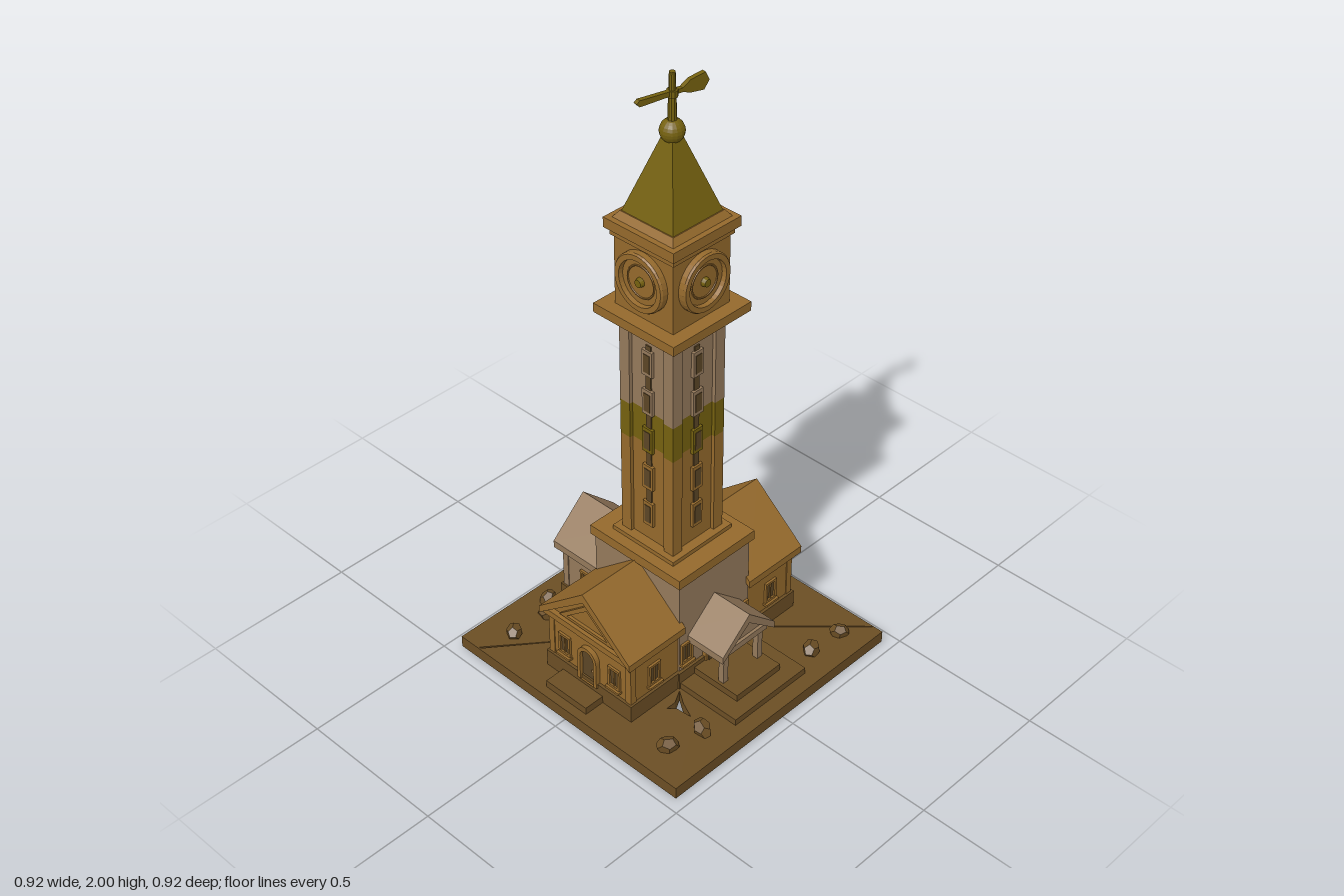
import * as THREE from 'three';

const mat = (color) => new THREE.MeshStandardMaterial({ color, flatShading: true, side: THREE.DoubleSide });
const EARTH = mat(0x6b4e24), WOOD = mat(0x94692c), STONE = mat(0x94795b), OLIVE = mat(0x75610f), DARK = mat(0x5c4626);

function add(parent, name, geo, m, x = 0, y = 0, z = 0) {
  const mesh = new THREE.Mesh(geo, m);
  mesh.name = name;
  mesh.position.set(x, y, z);
  parent.add(mesh);
  return mesh;
}
// Box given by its bottom and top heights
const box = (p, name, m, w, d, y0, y1, x = 0, z = 0) =>
  add(p, name, new THREE.BoxGeometry(w, y1 - y0, d), m, x, (y0 + y1) / 2, z);
const poly = (pts) => new THREE.Shape(pts.map(([x, y]) => new THREE.Vector2(x, y)));
const extrude = (shape, depth) => new THREE.ExtrudeGeometry(shape, { depth, bevelEnabled: false, curveSegments: 8 });
function group(parent, name, turn = 0) {
  const g = new THREE.Group();
  g.name = name;
  g.rotation.y = turn;
  parent.add(g);
  return g;
}

// Framed window on a wall facing +z
function addWindow(p, x, y, z) {
  const frame = poly([[-0.024, -0.038], [0.024, -0.038], [0.024, 0.038], [-0.024, 0.038]]);
  frame.holes.push(poly([[-0.016, -0.03], [0.016, -0.03], [0.016, 0.03], [-0.016, 0.03]]));
  add(p, 'windowFrame', extrude(frame, 0.01), WOOD, x, y, z - 0.002);
  box(p, 'windowPane', DARK, 0.032, 0.004, y - 0.03, y + 0.03, x, z);
  box(p, 'windowBar', WOOD, 0.005, 0.01, y - 0.03, y + 0.03, x, z);
  box(p, 'windowSill', WOOD, 0.056, 0.022, y - 0.046, y - 0.038, x, z + 0.005);
}

// Arched outline standing on y = 0
function arch(r, h) {
  const s = new THREE.Shape();
  s.moveTo(-r, 0);
  s.lineTo(r, 0);
  s.lineTo(r, h - r);
  s.absarc(0, h - r, r, 0, Math.PI, false);
  s.lineTo(-r, 0);
  return s;
}
function addDoor(p, z) {
  const frame = arch(0.04, 0.135);
  frame.holes.push(arch(0.028, 0.122));
  add(p, 'doorFrame', extrude(frame, 0.018), WOOD, 0, 0.085, z - 0.002);
  add(p, 'door', extrude(arch(0.028, 0.122), 0.006), DARK, 0, 0.085, z - 0.002);
  add(p, 'doorKnob', new THREE.SphereGeometry(0.005, 8, 6), WOOD, 0.016, 0.135, z + 0.006);
}

// Chevron roof from z0 to z1
function addRoof(p, half, eave, ridge, z0, z1, m) {
  const t = 0.025;
  const s = poly([[-half, eave], [-half, eave + t], [0, ridge], [half, eave + t], [half, eave], [0, ridge - t - 0.008]]);
  add(p, 'roof', extrude(s, z1 - z0), m, 0, 0, z0);
}

// Gabled wing facing +z
function addWing(p, name, turn, { half, eave, ridge, end, wall, roof, windows }) {
  const g = group(p, name, turn);
  const w = half - 0.02, face = end - 0.025;
  box(g, 'foundation', EARTH, 2 * w + 0.02, face - 0.09, 0.04, 0.1, 0, (face + 0.11) / 2);
  const gable = poly([[-w, 0.1], [w, 0.1], [w, eave + 0.01], [0, ridge - 0.03], [-w, eave + 0.01]]);
  add(g, 'walls', extrude(gable, face - 0.1), wall, 0, 0, 0.1);
  addRoof(g, half, eave, ridge, 0.14, end, roof);
  box(g, 'pedimentBeam', roof, 2 * half - 0.02, 0.018, eave, eave + 0.022, 0, face + 0.008);
  const h = ridge - eave;
  const trim = poly([[-half * 0.62, eave + 0.03], [half * 0.62, eave + 0.03], [0, ridge - 0.055]]);
  trim.holes.push(poly([[-half * 0.45, eave + 0.04], [half * 0.45, eave + 0.04], [0, ridge - 0.045 - h * 0.16]]));
  add(g, 'pedimentTrim', extrude(trim, 0.01), wall, 0, 0, face);
  for (const s of [-1, 1]) {
    box(g, 'cornerPost', wall, 0.022, 0.022, 0.1, eave + 0.01, s * (w - 0.008), face - 0.008);
    if (windows) addWindow(g, s * half * 0.55, 0.165, face);
    const side = group(g, 'sideWall', s * Math.PI / 2);
    addWindow(side, -s * (0.16 + face) / 2, 0.165, w);
  }
  return g;
}

// Clock face on a wall facing +z
function addClock(p, y, z) {
  const ring = [[0.0, 0.012], [0.07, 0.012], [0.072, 0.026], [0.088, 0.026], [0.092, 0.02], [0.092, 0]];
  const geo = new THREE.LatheGeometry(ring.map(([r, h]) => new THREE.Vector2(r, h)), 32).rotateX(Math.PI / 2);
  add(p, 'clockFace', geo, WOOD, 0, y, z);
  add(p, 'innerRing', new THREE.TorusGeometry(0.05, 0.003, 6, 32), WOOD, 0, y, z + 0.012);
  add(p, 'clockHub', new THREE.CylinderGeometry(0.012, 0.015, 0.014, 16).rotateX(Math.PI / 2), OLIVE, 0, y, z + 0.018);
}

export function createModel() {
  const model = new THREE.Group();
  model.name = 'clockTower';

  // Cracked ground slab; shape y becomes -z
  const slab = poly([[-0.46, -0.46], [0.46, -0.46], [0.46, 0.46], [-0.46, 0.46]]);
  const star = [];
  for (let i = 0; i < 16; i++) {
    const r = i % 2 ? 0.045 : [0.15, 0.1, 0.17, 0.12][(i / 2) % 4], a = i * Math.PI / 8 + 0.2;
    star.push([r * Math.cos(a), r * Math.sin(a)]);
  }
  slab.holes.push(poly(star));
  slab.holes.push(poly([[0.19, -0.165], [0.235, -0.195], [0.29, -0.22], [0.235, -0.225], [0.215, -0.245], [0.215, -0.21]]));
  slab.holes.push(poly([[-0.455, 0.318], [-0.2, 0.168], [-0.2, 0.165], [-0.455, 0.312]]));
  slab.holes.push(poly([[0.2, 0.244], [0.42, 0.456], [0.424, 0.456], [0.2, 0.239]]));
  slab.holes.push(poly([[-0.2, -0.23], [-0.385, -0.455], [-0.378, -0.455], [-0.2, -0.234]]));
  add(model, 'groundSlab', extrude(slab, 0.04).rotateX(-Math.PI / 2), EARTH);

  // Steps
  box(model, 'frontStep', EARTH, 0.17, 0.1, 0.04, 0.065, -0.025, 0.38);
  box(model, 'backStep', EARTH, 0.17, 0.1, 0.04, 0.065, 0.015, -0.385);
  box(model, 'porchTerrace', EARTH, 0.26, 0.31, 0.04, 0.062, 0.28, 0);
  box(model, 'porchStep', EARTH, 0.19, 0.19, 0.062, 0.085, 0.265, 0);

  // Central hall
  box(model, 'hallFoundation', EARTH, 0.37, 0.32, 0.04, 0.1);
  box(model, 'hall', STONE, 0.35, 0.3, 0.1, 0.44);
  box(model, 'hallCornice', WOOD, 0.37, 0.322, 0.435, 0.468);
  box(model, 'shaftPlinth', WOOD, 0.25, 0.25, 0.468, 0.482);

  // Front, back and left-hand wings
  const large = { half: 0.19, eave: 0.255, ridge: 0.44, end: 0.375, wall: WOOD, roof: WOOD, windows: true };
  addDoor(addWing(model, 'frontWing', 0, large), 0.35);
  addDoor(addWing(model, 'backWing', Math.PI, large), 0.35);
  addWing(model, 'sideWing', -Math.PI / 2,
    { half: 0.13, eave: 0.245, ridge: 0.39, end: 0.385, wall: STONE, roof: STONE, windows: true });

  // Open porch on the +x side
  const porch = group(model, 'porch', Math.PI / 2);
  addRoof(porch, 0.113, 0.195, 0.32, 0.14, 0.317, STONE);
  add(porch, 'porchGable', extrude(poly([[-0.095, 0.2], [0.095, 0.2], [0, 0.295]]), 0.14), STONE, 0, 0, 0.15);
  box(porch, 'porchBeam', STONE, 0.2, 0.15, 0.19, 0.212, 0, 0.225);
  box(porch, 'porchDoorFrame', WOOD, 0.1, 0.02, 0.085, 0.19, 0, 0.18);
  box(porch, 'porchDoor', DARK, 0.08, 0.02, 0.085, 0.18, 0, 0.184);
  for (const s of [-1, 1]) {
    box(porch, 'porchPost', STONE, 0.02, 0.02, 0.062, 0.195, s * 0.075, 0.285);
    addWindow(porch, s * 0.122, 0.165, 0.175);
  }

  // Shaft in colour bands, with corner pilasters
  for (const [m, y0, y1] of [[WOOD, 0.482, 0.83], [OLIVE, 0.83, 0.95], [STONE, 0.95, 1.25]]) {
    box(model, 'shaftCore', m, 0.186, 0.186, y0, y1);
    for (const x of [-1, 1]) for (const z of [-1, 1])
      box(model, 'shaftPilaster', m, 0.038, 0.038, y0, y1, x * 0.086, z * 0.086);
  }
  box(model, 'lowerBalcony', STONE, 0.25, 0.25, 1.232, 1.25);
  box(model, 'balcony', WOOD, 0.31, 0.31, 1.25, 1.28);

  // Clock room
  box(model, 'clockRoom', WOOD, 0.224, 0.224, 1.28, 1.51);
  box(model, 'clockRoomTrim', WOOD, 0.24, 0.24, 1.505, 1.53);
  box(model, 'upperCornice', WOOD, 0.265, 0.265, 1.528, 1.56);

  // Slit windows and clock on each side
  for (let i = 0; i < 4; i++) {
    const side = group(model, 'towerSide', i * Math.PI / 2);
    box(side, 'slitStrip', DARK, 0.02, 0.006, 0.54, 1.18, 0, 0.094);
    for (let k = 0; k < 5; k++) {
      const y = 0.54 + k * 0.135;
      const m = y < 0.8 ? WOOD : y < 0.94 ? OLIVE : STONE;
      box(side, 'slitFrame', m, 0.04, 0.012, y, y + 0.085, 0, 0.097);
      box(side, 'slitPane', DARK, 0.024, 0.004, y + 0.012, y + 0.073, 0, 0.103);
    }
    addClock(side, 1.405, 0.11);
  }

  // Spire, finial and weather vane
  const spire = (r0, r1, h) => new THREE.CylinderGeometry(r1 * Math.SQRT2, r0 * Math.SQRT2, h, 4).rotateY(Math.PI / 4);
  add(model, 'spireFoot', spire(0.115, 0.1, 0.02), WOOD, 0, 1.57, 0);
  add(model, 'spire', spire(0.1, 0.02, 0.24), OLIVE, 0, 1.69, 0);
  add(model, 'finialBall', new THREE.SphereGeometry(0.036, 16, 12), OLIVE, 0, 1.826, 0);
  add(model, 'vanePole', new THREE.CylinderGeometry(0.009, 0.014, 0.16, 10), OLIVE, 0, 1.92, 0);
  add(model, 'vaneCollar', new THREE.CylinderGeometry(0.016, 0.016, 0.02, 10), OLIVE, 0, 1.937, 0);
  const blade = poly([[-0.12, 1.945], [-0.11, 1.953], [0.03, 1.944], [0.055, 1.96], [0.105, 1.967], [0.118, 1.94],
    [0.1, 1.916], [0.055, 1.922], [0.03, 1.932], [-0.11, 1.934]]);
  const vane = add(model, 'vaneArrow', extrude(blade, 0.014).translate(0, 0, -0.007), OLIVE);
  vane.rotation.y = Math.PI / 2 - 0.15;

  // Loose rubble: x, z, size
  const rubble = [[-0.36, -0.33, 0.036], [-0.34, -0.2, 0.032], [-0.37, -0.395, 0.028], [0.37, -0.36, 0.032],
    [0.36, -0.24, 0.036], [-0.34, 0.21, 0.034], [-0.39, 0.16, 0.03], [0.355, 0.24, 0.036], [0.33, 0.36, 0.036], [-0.35, 0.34, 0.034]];
  rubble.forEach(([x, z, r], i) => {
    const rock = add(model, 'rubble', new THREE.DodecahedronGeometry(r), EARTH, x, 0.052, z);
    rock.scale.set(1, 0.75, 0.75);
    rock.rotation.set(0.2, i * 1.3, 0.25);
  });
  return model;
}
